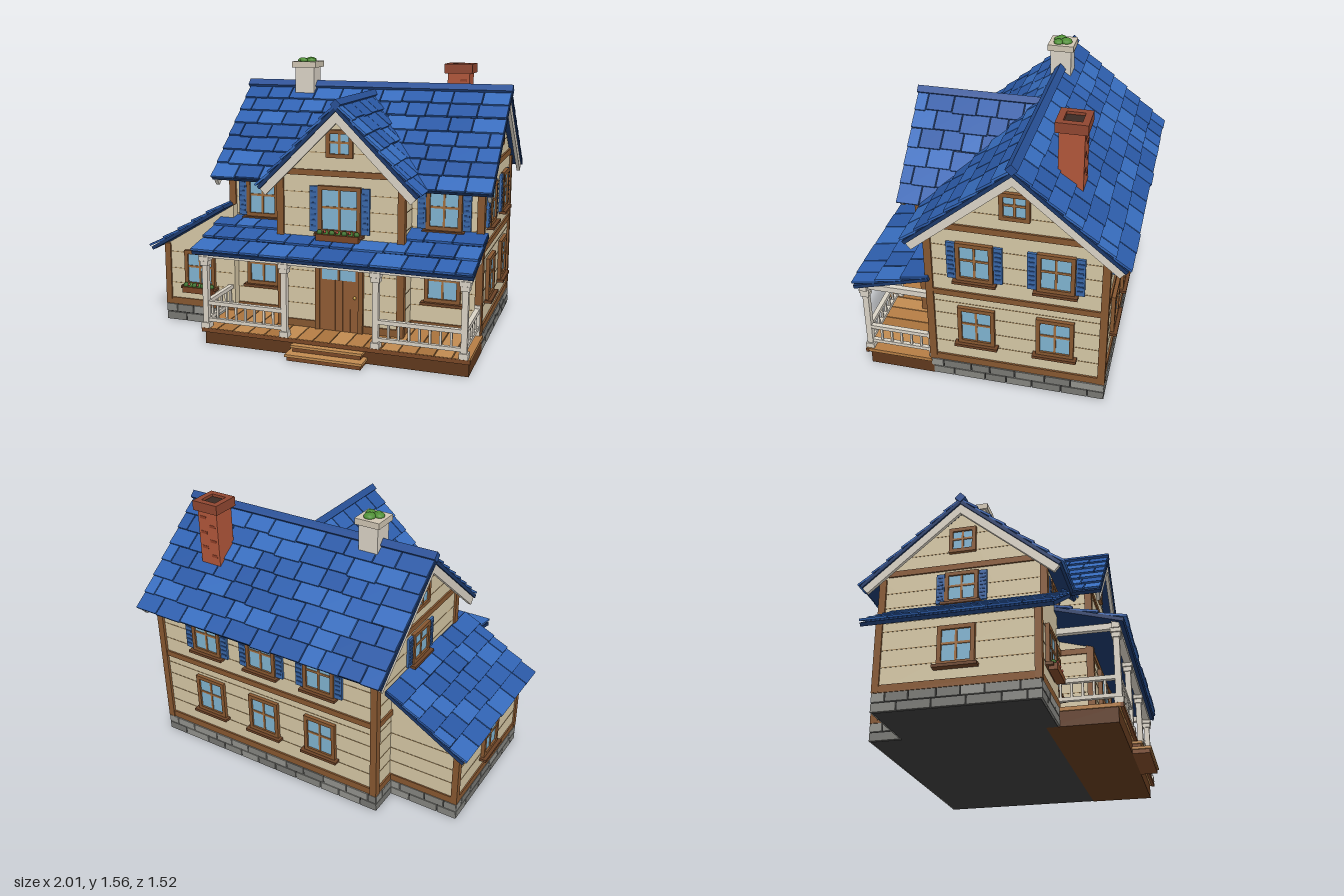
import * as THREE from 'three';
import { mergeGeometries } from 'three/addons/utils/BufferGeometryUtils.js';

const WALL = 0xd4c6a4, SEAM = 0xa8895c, TRIM = 0x865730, WHITE = 0xd9d2c5, GLASS = 0x7fb2cf;
const BLUES = [0x2a58a4, 0x3062b2, 0x376cbd, 0x2d5dab], DARKBLUE = 0x1b3768;
const GREYS = [0x84847f, 0x92928d, 0x777773], WOODS = [0xb57d45, 0xa8723c, 0xc08a50];

const mats = {};
const mat = (c) => (mats[c] ??= new THREE.MeshStandardMaterial({ color: c }));
let seed = 7;
const rnd = () => (seed = (seed * 16807) % 2147483647) / 2147483647;

function add(parent, name, geo, color, x = 0, y = 0, z = 0) {
  const m = new THREE.Mesh(geo, mat(color));
  m.name = name;
  m.position.set(x, y, z);
  parent.add(m);
  return m;
}
const box = (p, name, c, w, h, d, x, y, z) => add(p, name, new THREE.BoxGeometry(w, h, d), c, x, y, z);
// box given by its minimum and maximum on each axis
const span = (p, name, c, x0, x1, y0, y1, z0, z1) =>
  box(p, name, c, x1 - x0, y1 - y0, z1 - z0, (x0 + x1) / 2, (y0 + y1) / 2, (z0 + z1) / 2);
const prism = (pts, depth) => new THREE.ExtrudeGeometry(
  new THREE.Shape(pts.map((p) => new THREE.Vector2(...p))), { depth, bevelEnabled: false });

function group(parent, name, x = 0, y = 0, z = 0, yaw = 0) {
  const g = new THREE.Group();
  g.name = name;
  g.position.set(x, y, z);
  g.rotation.y = yaw;
  parent.add(g);
  return g;
}
// merge lists of geometry, one list per colour
function addSorted(g, name, lists, colors) {
  lists.forEach((l, i) => l.length && add(g, name, mergeGeometries(l), colors[i]));
}

// tiled roof slope; local x runs along the eave, local y up the slope
function roofSlope(parent, name, pos, yaw, pitch, S, rows, tileW, range, rakes = []) {
  const g = group(parent, name, ...pos);
  g.rotation.set(pitch - Math.PI / 2, yaw, 0, 'YXZ');
  const [a0, a1] = range(0), [b0, b1] = range(S);
  add(g, 'roofDeck', prism([[a0, 0], [a1, 0], [b1, S], [b0, S]], 0.02), DARKBLUE, 0, 0, -0.02);
  const lists = BLUES.map(() => []), rh = S / rows;
  for (let r = 0; r < rows; r++) {
    const [x0, x1] = range((r + 0.5) * rh);
    let x = x0, w = tileW * (r % 2 ? 0.5 : 1);
    while (x < x1 - 0.005) {
      if (x1 - x - w < tileW * 0.35) w = x1 - x;
      const t = new THREE.BoxGeometry(w - 0.006, rh * 1.04, 0.012);
      t.rotateX(-0.1);
      t.translate(x + w / 2, (r + 0.5) * rh - rnd() * 0.01, 0.009);
      lists[Math.floor(rnd() * BLUES.length)].push(t);
      x += w;
      w = tileW * (0.75 + rnd() * 0.5);
    }
  }
  addSorted(g, 'roofTiles', lists, BLUES);
  rakes.forEach((x) => box(g, 'rakeBoard', WHITE, 0.02, S, 0.045, x, S / 2, -0.042));
}

// stone courses facing local +z, starting at local x = 0
function stones(parent, x, z, yaw, len) {
  const g = group(parent, 'foundationStones', x, 0, z, yaw), lists = GREYS.map(() => []);
  for (let r = 0; r < 2; r++) {
    let p = 0, w = r ? 0.07 : 0.13;
    while (p < len - 0.005) {
      if (len - p - w < 0.05) w = len - p;
      const s = new THREE.BoxGeometry(w - 0.006, 0.045, 0.02);
      s.translate(p + w / 2, 0.025 + r * 0.05, 0);
      lists[Math.floor(rnd() * 3)].push(s);
      p += w;
      w = 0.1 + rnd() * 0.08;
    }
  }
  addSorted(g, 'stones', lists, GREYS);
}

function flowerBox(g, w, y) {
  box(g, 'flowerBox', 0x7a4526, w, 0.035, 0.045, 0, y, 0.035);
  for (let i = 0; i < 7; i++) {
    const x = (i / 6 - 0.5) * (w - 0.03);
    add(g, 'plant', new THREE.SphereGeometry(0.016, 8, 6), i % 2 ? 0x4d8a35 : 0x3c6f2b, x, y + 0.024, 0.035);
    if (i % 2) add(g, 'flower', new THREE.SphereGeometry(0.008, 6, 5), 0xb8463c, x, y + 0.034, 0.05);
  }
}

// window facing local +z, centred on its glass
function windowUnit(parent, x, y, z, yaw, w, h, { shutters = false, sill = true, flowers = false } = {}) {
  const g = group(parent, 'window', x, y, z, yaw), f = 0.022;
  box(g, 'glass', GLASS, w - f, h - f, 0.012, 0, 0, 0.004);
  for (const s of [-1, 1]) {
    box(g, 'frameSide', TRIM, f, h, 0.03, s * (w - f) / 2, 0, 0.006);
    box(g, 'frameRail', TRIM, w, f, 0.03, 0, s * (h - f) / 2, 0.006);
    if (!shutters) continue;
    box(g, 'shutter', 0x3a68a8, 0.046, h - 0.01, 0.014, s * (w / 2 + 0.026), 0, 0.008);
    for (let i = -3; i <= 3; i++)
      box(g, 'slat', 0x2c5390, 0.03, 0.01, 0.006, s * (w / 2 + 0.026), i * h * 0.12, 0.016);
  }
  box(g, 'muntin', 0xa06c3d, 0.012, h - f, 0.02, 0, 0, 0.005);
  box(g, 'muntin', 0xa06c3d, w - f, 0.012, 0.02, 0, h * 0.05, 0.005);
  if (sill) box(g, 'sill', 0x6b4226, w + 0.035, 0.016, 0.045, 0, -h / 2 - 0.006, 0.018);
  if (flowers) flowerBox(g, w, -h / 2 - 0.016);
}

function railing(parent, x, z, yaw, len) {
  const g = group(parent, 'railing', x, 0, z, yaw);
  box(g, 'topRail', WHITE, len, 0.022, 0.026, 0, 0.242, 0);
  box(g, 'bottomRail', WHITE, len, 0.02, 0.022, 0, 0.145, 0);
  const n = Math.round(len / 0.058);
  for (let i = 1; i < n; i++) box(g, 'baluster', WHITE, 0.012, 0.09, 0.012, (i / n - 0.5) * len, 0.193, 0);
}

export function createModel() {
  const root = new THREE.Group();
  root.name = 'house';
  const Q = Math.PI / 2;

  // Foundation
  span(root, 'mainFoundation', 0x3a3a3a, -0.535, 0.93, 0, 0.1, -0.65, 0.285);
  span(root, 'annexFoundation', 0x3a3a3a, -0.94, -0.53, 0, 0.1, -0.48, 0.34);
  stones(root, 0.93, 0.295, Q, 0.955);
  stones(root, 0.94, -0.65, Math.PI, 1.485);
  stones(root, -0.535, -0.66, -Q, 0.18);
  stones(root, -0.95, 0.34, 0, 0.41);
  stones(root, -0.94, -0.49, -Q, 0.84);
  stones(root, -0.53, -0.48, Math.PI, 0.42);

  // Walls
  const main = add(root, 'mainWalls', prism([[-0.285, 0.1], [0.645, 0.1], [0.645, 0.95], [0.18, 1.335], [-0.285, 0.95]], 1.455), WALL, -0.53);
  main.rotation.y = Q;
  add(root, 'gableWalls', prism([[-0.16, 0.1], [0.54, 0.1], [0.54, 0.95], [0.19, 1.3], [-0.16, 0.95]], 0.3), WALL, 0, 0, 0.165);
  add(root, 'annexWalls', prism([[-0.94, 0.1], [-0.5, 0.1], [-0.5, 0.73], [-0.94, 0.467]], 0.82), WALL, 0, 0, -0.48);

  // Siding seams
  for (const y of [0.23, 0.32, 0.42, 0.5, 0.67, 0.77, 0.86]) {
    span(root, 'sidingSeam', SEAM, -0.532, 0.927, y, y + 0.004, -0.647, 0.287);
    span(root, 'sidingSeam', SEAM, -0.162, 0.542, y, y + 0.004, 0.2, 0.467);
    if (y < 0.45) span(root, 'sidingSeam', SEAM, -0.942, -0.52, y, y + 0.004, -0.482, 0.342);
  }
  for (const y of [1.08, 1.19]) {
    const hz = (1.33 - y) / 0.84, hx = 1.3 - y;
    span(root, 'sidingSeam', SEAM, -0.532, 0.927, y, y + 0.004, -0.18 - hz, -0.18 + hz);
    span(root, 'sidingSeam', SEAM, 0.19 - hx, 0.19 + hx, y, y + 0.004, 0.4, 0.467);
  }

  // Timber bands and corner posts
  for (const [y0, y1] of [[0.1, 0.14], [0.548, 0.582]]) {
    span(root, 'timberBand', TRIM, -0.54, 0.935, y0, y1, -0.655, 0.294);
    span(root, 'timberBand', TRIM, -0.168, 0.548, y0, y1, 0.2, 0.474);
  }
  span(root, 'annexBand', TRIM, -0.948, -0.5, 0.1, 0.14, -0.488, 0.348);
  span(root, 'sideGableBand', TRIM, -0.54, 0.935, 0.965, 1, -0.61, 0.25);
  span(root, 'frontGableBand', TRIM, -0.15, 0.53, 0.955, 0.988, 0.4, 0.474);
  for (const x of [-0.523, 0.918])
    for (const z of [-0.641, 0.28]) box(root, 'cornerPost', TRIM, 0.04, 0.85, 0.04, x, 0.525, z);
  for (const x of [-0.152, 0.532]) box(root, 'gablePost', TRIM, 0.04, 0.85, 0.04, x, 0.525, 0.458);
  for (const z of [-0.473, 0.333]) box(root, 'annexPost', TRIM, 0.036, 0.37, 0.036, -0.932, 0.287, z);

  // Roofs
  const mp = Math.atan(0.84), mS = 0.57 / Math.cos(mp), gS = 0.45 * Math.SQRT2;
  const valley = (v) => -0.17 + 1.19 * (0.45 - v / Math.SQRT2);
  roofSlope(root, 'mainRoofFront', [0.19, 0.895, 0.39], 0, mp, mS, 7, 0.15, () => [-0.8, 0.8], [-0.78, 0.78]);
  roofSlope(root, 'mainRoofBack', [0.19, 0.895, -0.75], Math.PI, mp, mS, 7, 0.15, () => [-0.8, 0.8], [-0.78, 0.78]);
  const endCut = 0.545;
  roofSlope(root, 'gableRoofRight', [0.64, 0.89, 0], Q, Q / 2, gS, 6, 0.13, (v) => [-endCut, -valley(v)], [-0.525]);
  roofSlope(root, 'gableRoofLeft', [-0.26, 0.89, 0], -Q, Q / 2, gS, 6, 0.13, (v) => [valley(v), endCut], [0.525]);
  roofSlope(root, 'porchRoof', [0.19, 0.54, 0.7], 0, 0.278, 0.437, 3, 0.14, () => [-0.775, 0.77]);
  roofSlope(root, 'annexRoof', [-1, 0.46, 0], -Q, 0.537, 0.547, 5, 0.15, () => [-0.555, 0.42]);
  box(root, 'mainRidge', 0x274f95, 1.61, 0.045, 0.045, 0.19, 1.386, -0.18).rotation.x = Q / 2;
  box(root, 'gableRidge', 0x274f95, 0.04, 0.04, 0.7, 0.19, 1.347, 0.197).rotation.z = Q / 2;

  // Windows
  for (const x of [-0.335, 0.72]) {
    windowUnit(root, x, 0.78, 0.285, 0, 0.195, 0.23, { shutters: true });
    windowUnit(root, x, 0.375, 0.285, 0, 0.2, 0.23);
  }
  windowUnit(root, 0.19, 0.775, 0.465, 0, 0.24, 0.26, { shutters: true, flowers: true });
  windowUnit(root, 0.19, 1.133, 0.465, 0, 0.15, 0.15, { sill: false });
  for (const z of [0.032, -0.39]) {
    windowUnit(root, 0.925, 0.782, z, Q, 0.195, 0.23, { shutters: true });
    windowUnit(root, 0.925, 0.368, z, Q, 0.2, 0.235);
  }
  for (const x of [-0.18, 0.2, 0.58]) {
    windowUnit(root, x, 0.782, -0.645, Math.PI, 0.195, 0.23, { shutters: true });
    windowUnit(root, x, 0.368, -0.645, Math.PI, 0.2, 0.235);
  }
  windowUnit(root, 0.925, 1.148, -0.18, Q, 0.155, 0.155, { sill: false });
  windowUnit(root, -0.53, 1.148, -0.18, -Q, 0.155, 0.155, { sill: false });
  windowUnit(root, -0.53, 0.85, -0.18, -Q, 0.19, 0.19, { shutters: true });
  windowUnit(root, -0.72, 0.333, 0.34, 0, 0.195, 0.215, { flowers: true });
  windowUnit(root, -0.94, 0.31, -0.07, -Q, 0.19, 0.21);

  // Front door
  const door = group(root, 'frontDoor', 0.19, 0, 0.465);
  for (let i = -2; i <= 2; i++) box(door, 'doorPlank', 0x8f5a33, 0.042, 0.41, 0.018, i * 0.044, 0.305, 0.008);
  for (const s of [-1, 1]) box(door, 'doorJamb', TRIM, 0.026, 0.42, 0.032, s * 0.123, 0.31, 0.008);
  box(door, 'doorHead', TRIM, 0.27, 0.026, 0.032, 0, 0.527, 0.008);
  box(door, 'doorGlass', GLASS, 0.19, 0.11, 0.006, 0, 0.445, 0.018);
  box(door, 'doorMuntin', TRIM, 0.012, 0.11, 0.01, 0, 0.445, 0.019);
  add(door, 'doorKnob', new THREE.SphereGeometry(0.009, 10, 8), 0xc9a24a, 0.092, 0.3, 0.025);

  // Porch deck and steps
  span(root, 'porchBase', 0x5f381c, -0.54, 0.94, 0, 0.082, 0.28, 0.645);
  const planks = 16, pw = 1.5 / planks;
  for (let i = 0; i < planks; i++)
    box(root, 'deckPlank', WOODS[i % 3], pw - 0.005, 0.02, 0.38, -0.55 + (i + 0.5) * pw, 0.09, 0.48);
  span(root, 'deckFascia', 0x7a4826, -0.55, 0.95, 0.076, 0.098, 0.655, 0.672);
  for (const [w, y, z] of [[0.4, 0.072, 0.7], [0.43, 0.036, 0.748]]) {
    span(root, 'stepBody', 0x7a4826, 0.19 - w / 2 + 0.01, 0.19 + w / 2 - 0.01, 0, y - 0.014, 0.64, z - 0.008);
    span(root, 'stepTread', WOODS[2], 0.19 - w / 2, 0.19 + w / 2, y - 0.014, y, 0.64, z);
  }

  // Porch posts, beams and railings
  for (const x of [-0.525, -0.06, 0.45, 0.915]) {
    const post = group(root, 'porchPost', x, 0, 0.65);
    box(post, 'shaft', WHITE, 0.032, 0.4, 0.032, 0, 0.3, 0);
    box(post, 'base', WHITE, 0.048, 0.03, 0.048, 0, 0.115, 0);
    box(post, 'collar', WHITE, 0.046, 0.025, 0.046, 0, 0.468, 0);
    box(post, 'capital', WHITE, 0.056, 0.025, 0.056, 0, 0.495, 0);
  }
  span(root, 'porchBeam', WHITE, -0.56, 0.95, 0.503, 0.538, 0.632, 0.672);
  for (const x of [-0.525, 0.915]) {
    span(root, 'sideBeam', WHITE, x - 0.015, x + 0.015, 0.505, 0.538, 0.28, 0.64);
    railing(root, x, 0.468, Q, 0.34);
    span(root, 'wallPost', WHITE, x - 0.016, x + 0.016, 0.1, 0.27, 0.282, 0.308);
  }
  railing(root, -0.2925, 0.65, 0, 0.44);
  railing(root, 0.6825, 0.65, 0, 0.44);

  // Brick chimney
  const brick = group(root, 'brickChimney', 0.65, 0, -0.41);
  span(brick, 'stack', 0xb0563a, -0.065, 0.065, 1.02, 1.47, -0.065, 0.065);
  for (let i = 0; i < 6; i++)
    box(brick, 'raisedBrick', 0x8f3f28, 0.04, 0.016, 0.134, (i % 2 ? 0.03 : -0.03), 1.2 + i * 0.045, 0);
  for (const s of [-1, 1]) {
    box(brick, 'capSide', 0x8f4630, 0.035, 0.055, 0.165, s * 0.065, 1.4925, 0);
    box(brick, 'capEnd', 0x8f4630, 0.1, 0.055, 0.035, 0, 1.4925, s * 0.065);
  }
  box(brick, 'flue', 0x3a2a24, 0.1, 0.04, 0.1, 0, 1.485, 0);

  // Pale chimney with greenery
  const pale = group(root, 'planterChimney', -0.235, 0, -0.18);
  span(pale, 'stack', WHITE, -0.059, 0.059, 1.3, 1.5, -0.059, 0.059);
  span(pale, 'cap', 0xcfc5b2, -0.074, 0.074, 1.495, 1.53, -0.074, 0.074);
  for (const [x, z, r] of [[0.012, -0.022, 0.034], [-0.028, 0.012, 0.03], [0.03, 0.02, 0.028], [-0.012, 0.03, 0.024]]) {
    const leaf = add(pale, 'greenery', new THREE.SphereGeometry(r, 12, 8), 0x4f8f35, x, 1.535, z);
    leaf.scale.y = 0.6;
  }
  return root;
}
